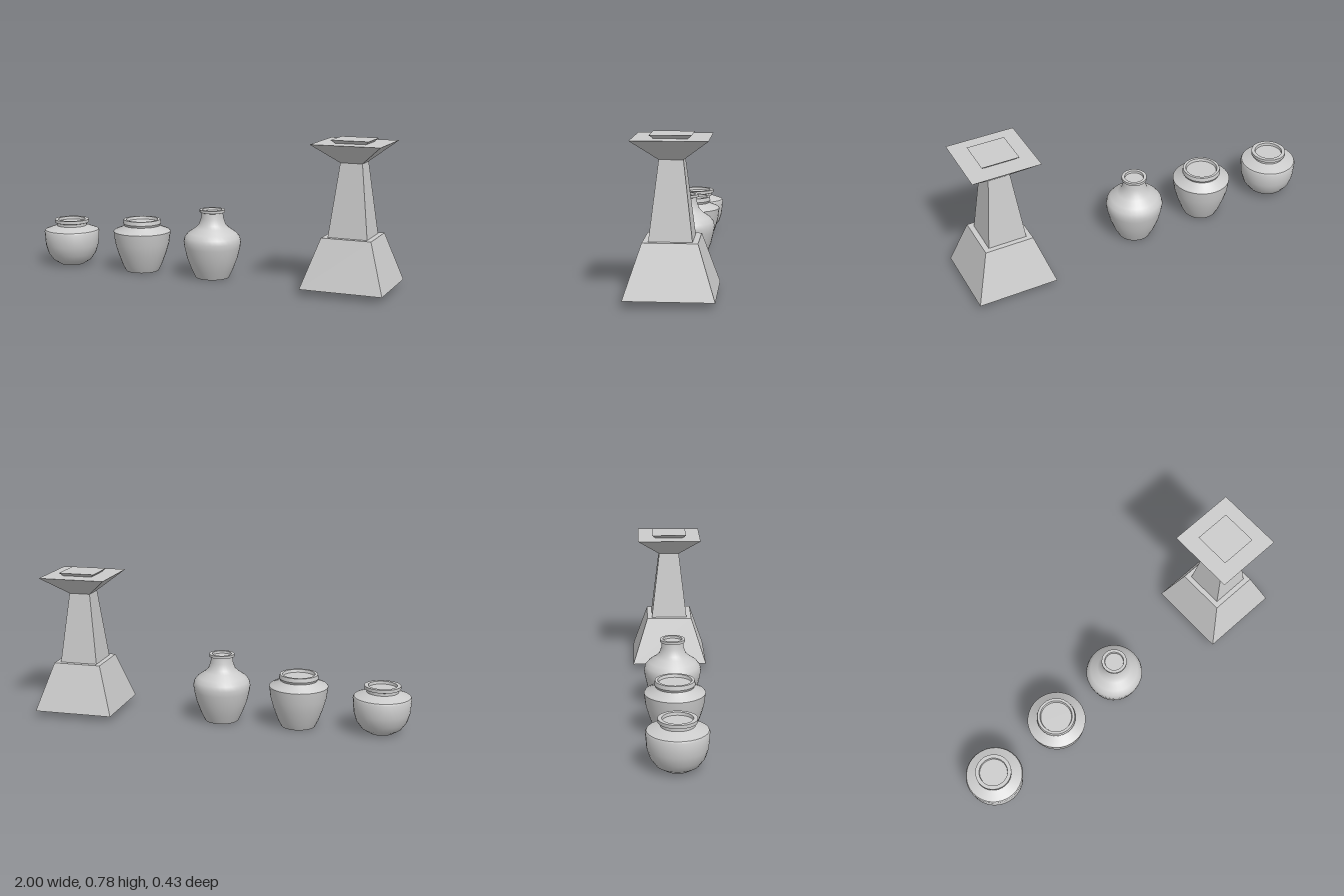
import * as THREE from 'three';
import { toCreasedNormals } from 'three/addons/utils/BufferGeometryUtils.js';

const smooth = new THREE.MeshStandardMaterial({ color: 0xcccccc });
const faceted = new THREE.MeshStandardMaterial({ color: 0xcccccc, flatShading: true });

// Pot turned from a [radius, height] profile, from the base centre up to the recessed mouth
function pot(name, x, profile) {
  const points = profile.map(([r, y]) => new THREE.Vector2(r, y));
  const geometry = toCreasedNormals(new THREE.LatheGeometry(points, 32), 0.6);
  const mesh = new THREE.Mesh(geometry, smooth);
  mesh.name = name;
  mesh.position.x = x;
  return mesh;
}

// Square tapered block given by its half widths and heights
function taper(name, bottom, top, y0, y1) {
  const geometry = new THREE.CylinderGeometry(top * Math.SQRT2, bottom * Math.SQRT2, y1 - y0, 4);
  geometry.rotateY(Math.PI / 4);
  const mesh = new THREE.Mesh(geometry, faceted);
  mesh.name = name;
  mesh.position.y = (y0 + y1) / 2;
  return mesh;
}

export function createModel() {
  const model = new THREE.Group();
  model.name = 'potsAndPedestal';

  // Low round pot with a rolled lip
  model.add(pot('roundPot', -0.847, [
    [0, 0], [0.065, 0], [0.105, 0.025], [0.132, 0.062], [0.147, 0.11], [0.153, 0.185],
    [0.148, 0.195], [0.098, 0.213], [0.083, 0.218], [0.083, 0.232], [0.095, 0.236],
    [0.095, 0.253], [0.075, 0.253], [0.073, 0.238], [0, 0.238],
  ]));

  // Wide-mouthed jar with a sharp shoulder
  model.add(pot('shoulderedJar', -0.406, [
    [0, 0], [0.09, 0], [0.108, 0.035], [0.132, 0.1], [0.148, 0.155], [0.156, 0.218],
    [0.15, 0.225], [0.103, 0.243], [0.098, 0.25], [0.104, 0.262],
    [0.1, 0.283], [0.086, 0.283], [0.082, 0.268], [0, 0.268],
  ]));

  // Tall vase with a narrow neck
  model.add(pot('narrowNeckedVase', 0.012, [
    [0, 0], [0.09, 0], [0.112, 0.045], [0.135, 0.105], [0.149, 0.165], [0.153, 0.195],
    [0.147, 0.22], [0.128, 0.242], [0.09, 0.268], [0.072, 0.286], [0.06, 0.32], [0.057, 0.349],
    [0.067, 0.352], [0.067, 0.366], [0.051, 0.366], [0.049, 0.354], [0, 0.354],
  ]));

  // Square pedestal
  const pedestal = new THREE.Group();
  pedestal.name = 'pedestal';
  pedestal.position.x = 0.787;
  pedestal.add(
    taper('pedestalBase', 0.213, 0.129, 0.032, 0.286),
    taper('pedestalShaft', 0.102, 0.057, 0.286, 0.66),
    taper('pedestalCapital', 0.057, 0.179, 0.66, 0.759),
    taper('pedestalTopPlate', 0.079, 0.098, 0.759, 0.776),
  );
  model.add(pedestal);

  return model;
}
